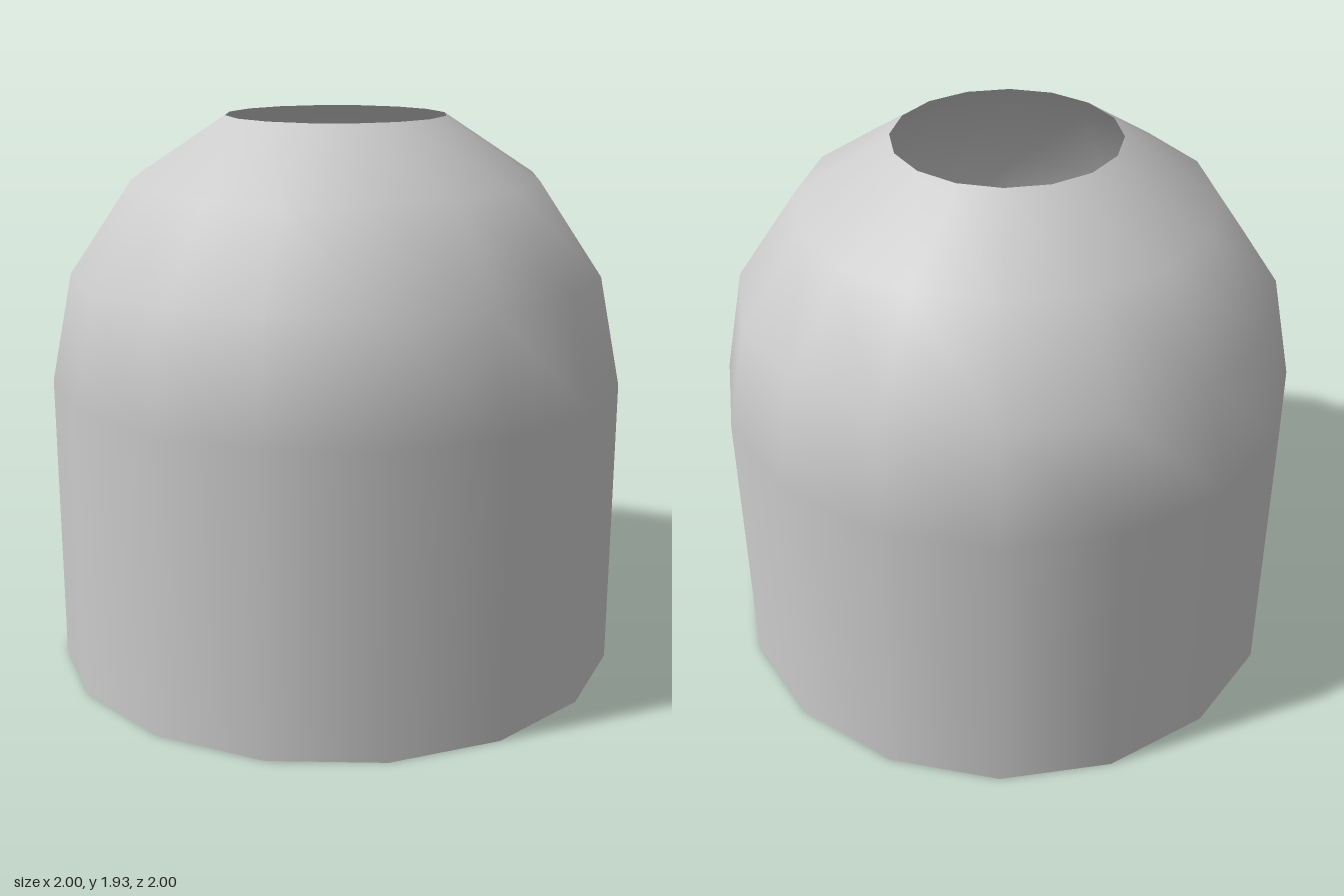
import * as THREE from 'three';

const SIDES = 16;
const RADIUS = 1;
const INNER = 0.96;
const CENTER_Y = 1.02;
const HALF_HEIGHT = 0.98;

export function createModel() {
  const group = new THREE.Group();
  group.name = 'domedVessel';
  const material = new THREE.MeshStandardMaterial({ color: 0xcccccc, side: THREE.DoubleSide });

  // Revolves a short [radius, height] profile
  const addLathe = (name, profile) => {
    const points = profile.map(([r, y]) => new THREE.Vector2(r, y));
    const mesh = new THREE.Mesh(new THREE.LatheGeometry(points, SIDES), material);
    mesh.name = name;
    group.add(mesh);
  };

  // Round bowl: closed at the bottom, open at the top where the last ring is left out
  const bowl = [];
  for (let i = 0; i <= 7; i++) {
    const a = -Math.PI / 2 + (i * Math.PI) / 8;
    bowl.push([i === 0 ? 0 : RADIUS * Math.cos(a), CENTER_Y + HALF_HEIGHT * Math.sin(a)]);
  }
  addLathe('bowl', bowl);

  // Standing skirt around the lower half: outer wall, rim underneath, inner wall
  addLathe('skirtOuterWall', [[RADIUS, 0], [RADIUS, CENTER_Y]]);
  addLathe('skirtBottomRim', [[INNER, 0], [RADIUS, 0]]);
  addLathe('skirtInnerWall', [[INNER, 0.84], [INNER, 0]]);

  return group;
}
